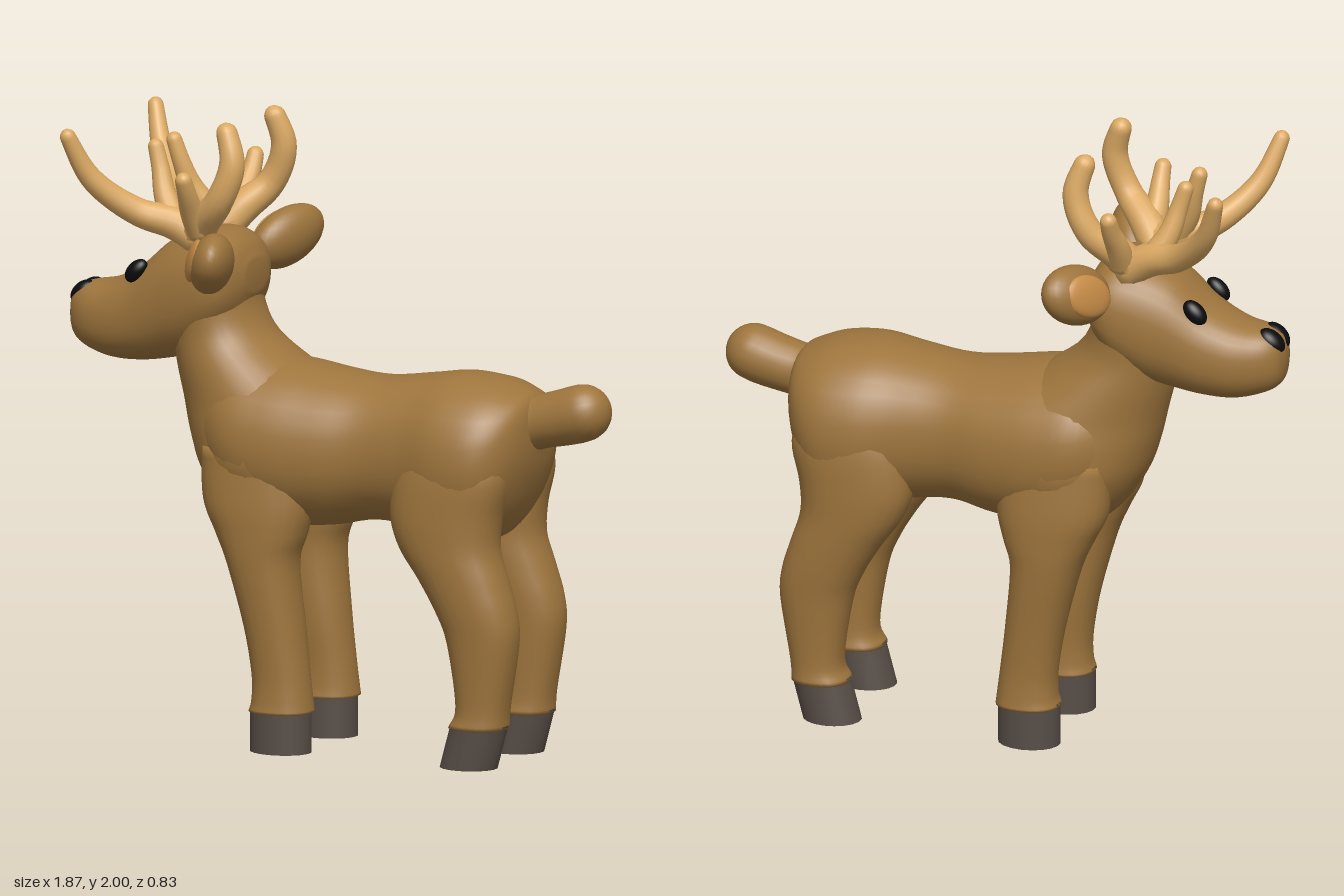
import * as THREE from 'three';

const material = (name, color) => {
  const m = new THREE.MeshStandardMaterial({ color });
  m.name = name;
  return m;
};

// Skin a list of closed rings (arrays of Vector3) and close both ends.
function skin(rings) {
  const n = rings[0].length, pos = [], idx = [];
  rings.forEach(r => r.forEach(p => pos.push(p.x, p.y, p.z)));
  for (let i = 0; i < rings.length - 1; i++) {
    for (let j = 0; j < n; j++) {
      const a = i * n + j, b = i * n + (j + 1) % n;
      idx.push(a, b, a + n, b, b + n, a + n);
    }
  }
  [0, rings.length - 1].forEach((row, end) => {
    const c = rings[row].reduce((s, p) => s.add(p), new THREE.Vector3()).divideScalar(n);
    const k = pos.length / 3;
    pos.push(c.x, c.y, c.z);
    for (let j = 0; j < n; j++) {
      const a = row * n + j, b = row * n + (j + 1) % n;
      if (end) idx.push(a, b, k); else idx.push(b, a, k);
    }
  });
  // Turn the faces outward if the enclosed volume comes out negative.
  const v = i => new THREE.Vector3().fromArray(pos, i * 3);
  let volume = 0;
  for (let i = 0; i < idx.length; i += 3) {
    volume += v(idx[i]).dot(v(idx[i + 1]).cross(v(idx[i + 2])));
  }
  if (volume < 0) idx.reverse();
  const g = new THREE.BufferGeometry();
  g.setAttribute('position', new THREE.Float32BufferAttribute(pos, 3));
  g.setIndex(idx);
  g.computeVertexNormals();
  return g;
}

// Rounded cross-sections along x or y. Row: [position, min, max, zMin, zMax].
function loft(axis, rows, power = 2, sides = 32) {
  const centre = new THREE.CatmullRomCurve3(rows.map(r =>
    new THREE.Vector3(r[0], (r[1] + r[2]) / 2, (r[3] + r[4]) / 2)), false, 'catmullrom', 0.5);
  const half = new THREE.CatmullRomCurve3(rows.map(r =>
    new THREE.Vector3((r[2] - r[1]) / 2, (r[4] - r[3]) / 2, 0)), false, 'catmullrom', 0.5);
  const steps = (rows.length - 1) * 5, rings = [];
  const round = t => Math.sign(t) * Math.abs(t) ** (2 / power);
  for (let i = 0; i <= steps; i++) {
    const c = centre.getPoint(i / steps), h = half.getPoint(i / steps), ring = [];
    for (let j = 0; j < sides; j++) {
      const t = j / sides * Math.PI * 2;
      const a = c.y + Math.max(h.x, 0.002) * round(Math.cos(t));
      const z = c.z + Math.max(h.y, 0.002) * round(Math.sin(t));
      ring.push(axis === 'x' ? new THREE.Vector3(c.x, a, z) : new THREE.Vector3(a, c.x, z));
    }
    rings.push(ring);
  }
  return skin(rings);
}

// Tapered tube with a round tip. Point: [x, y, z, radius].
function branch(points, sides = 14) {
  const curve = new THREE.CatmullRomCurve3(points.map(p => new THREE.Vector3(p[0], p[1], p[2])));
  const steps = 28, { normals, binormals } = curve.computeFrenetFrames(steps);
  const tip = points[points.length - 1][3], length = curve.getLength(), rings = [];
  for (let i = 0; i <= steps; i++) {
    const u = 1 - (1 - i / steps) ** 1.6;
    const f = Math.min(curve.getUtoTmapping(u) * (points.length - 1), points.length - 1.0001);
    const k = Math.floor(f);
    let r = THREE.MathUtils.lerp(points[k][3], points[k + 1][3], f - k);
    const left = Math.min((1 - u) * length / tip, 1);
    r = Math.max(r * Math.sqrt(1 - (1 - left) ** 2), 0.001);
    const c = curve.getPointAt(u), ring = [];
    const near = Math.min(Math.round(u * steps), steps);
    for (let j = 0; j < sides; j++) {
      const t = j / sides * Math.PI * 2;
      ring.push(c.clone().addScaledVector(normals[near], r * Math.cos(t))
        .addScaledVector(binormals[near], r * Math.sin(t)));
    }
    rings.push(ring);
  }
  return skin(rings);
}

// Ellipsoid whose local x, y follow the given directions.
function blob(centre, radii, along, up) {
  const x = new THREE.Vector3(...along).normalize();
  const z = x.clone().cross(new THREE.Vector3(...up)).normalize();
  const y = z.clone().cross(x);
  const g = new THREE.SphereGeometry(1, 28, 18).scale(...radii);
  g.applyMatrix4(new THREE.Matrix4().makeBasis(x, y, z));
  return g.translate(...centre);
}

export function createModel() {
  const fur = material('brown fur', 0x9e753d);
  const horn = material('tan antler', 0xdba963);
  const hoofGrey = material('hoof grey', 0x574d46);
  const black = material('black', 0x0c0c0c);
  const innerEarTan = material('inner ear orange', 0xc68c47);

  const model = new THREE.Group();
  model.name = 'deer';
  const add = (name, geometry, mat) => {
    const mesh = new THREE.Mesh(geometry, mat);
    mesh.name = name;
    model.add(mesh);
  };
  const even = rows => rows.map(([p, a, b, w]) => [p, a, b, -w, w]);

  // Trunk, neck with chest, head and tail
  add('torso', loft('x', even([
    [-0.46, 0.93, 1.13, 0.15], [-0.32, 0.78, 1.23, 0.265], [-0.17, 0.71, 1.235, 0.285],
    [0, 0.715, 1.212, 0.265], [0.15, 0.742, 1.2, 0.235], [0.3, 0.725, 1.218, 0.245],
    [0.43, 0.69, 1.235, 0.28], [0.55, 0.71, 1.225, 0.28], [0.63, 0.8, 1.2, 0.235],
    [0.68, 0.92, 1.17, 0.15], [0.7, 1.02, 1.1, 0.04]]), 2.2), fur);
  add('neck', loft('y', even([
    [0.72, -0.33, -0.12, 0.1], [0.8, -0.41, 0, 0.23], [0.9, -0.47, 0.05, 0.278],
    [1, -0.505, 0.08, 0.275], [1.1, -0.53, 0.06, 0.25], [1.2, -0.555, -0.1, 0.215],
    [1.3, -0.57, -0.24, 0.185], [1.4, -0.56, -0.298, 0.185], [1.5, -0.52, -0.305, 0.19],
    [1.57, -0.5, -0.33, 0.16]])), fur);
  add('head', loft('x', even([
    [-0.935, 1.31, 1.36, 0.02], [-0.92, 1.25, 1.405, 0.065], [-0.87, 1.215, 1.43, 0.105],
    [-0.78, 1.19, 1.448, 0.135], [-0.68, 1.19, 1.5, 0.155], [-0.58, 1.205, 1.585, 0.175],
    [-0.48, 1.23, 1.63, 0.195], [-0.39, 1.29, 1.635, 0.2], [-0.33, 1.36, 1.6, 0.165],
    [-0.295, 1.44, 1.54, 0.08]]), 2.3), fur);
  add('tail', branch([
    [0.58, 1.07, 0, 0.1], [0.7, 1.095, 0, 0.086], [0.82, 1.125, 0, 0.092],
    [0.93, 1.165, 0, 0.088]], 20), fur);

  const frontLeg = [
    [0.97, -0.4, -0.04, 0.09, 0.265], [0.8, -0.395, -0.03, 0.05, 0.285],
    [0.7, -0.35, -0.05, 0.055, 0.287], [0.6, -0.305, -0.078, 0.065, 0.283],
    [0.4, -0.25, -0.06, 0.07, 0.265], [0.25, -0.225, -0.042, 0.08, 0.255],
    [0.17, -0.225, -0.032, 0.08, 0.257], [0.13, -0.235, -0.027, 0.075, 0.262]];
  const backLeg = [
    [1.05, 0.34, 0.62, 0.09, 0.25], [0.93, 0.28, 0.655, 0.06, 0.28],
    [0.8, 0.26, 0.63, 0.045, 0.288], [0.7, 0.29, 0.625, 0.05, 0.287],
    [0.6, 0.36, 0.655, 0.06, 0.283], [0.5, 0.42, 0.685, 0.068, 0.277],
    [0.4, 0.46, 0.692, 0.075, 0.268], [0.2, 0.49, 0.66, 0.083, 0.255],
    [0.13, 0.465, 0.655, 0.075, 0.262]];
  const leg = (rows, s) => loft('y', rows.map(([y, a, b, c, d]) =>
    [y, a, b, Math.min(s * c, s * d), Math.max(s * c, s * d)]), 2.3, 24);
  // Hoof: an oval cylinder, sheared forward by the lean
  const hoof = (x, rx, lean, s) => new THREE.CylinderGeometry(1, 1, 0.14, 18)
    .scale(rx, 1, 0.083)
    .applyMatrix4(new THREE.Matrix4().makeShear(0, 0, lean, 0, 0, 0))
    .translate(x, 0.07, s * 0.17);

  for (const s of [1, -1]) {
    const side = s > 0 ? 'left' : 'right';
    add(side + 'FrontLeg', leg(frontLeg, s), fur);
    add(side + 'BackLeg', leg(backLeg, s), fur);
    add(side + 'FrontHoof', hoof(-0.133, 0.101, 0, s), hoofGrey);
    const back = hoof(0, 0.095, 0, s);
    const p = back.attributes.position;
    for (let i = 0; i < p.count; i++) p.setX(i, p.getX(i) + 0.525 + p.getY(i) * 0.27);
    back.computeVertexNormals();
    add(side + 'BackHoof', back, hoofGrey);

    // Ear with its lining, eye and nose half
    add(side + 'Ear', blob([-0.325, 1.565, s * 0.275], [0.15, 0.097, 0.07],
      [0.1, 0.08, s * 0.24], [0.25, 1, 0]), fur);
    add(side + 'InnerEar', blob([-0.375, 1.575, s * 0.3], [0.095, 0.067, 0.025],
      [0.1, 0.08, s * 0.16], [0.25, 1, 0]), innerEarTan);
    add(side + 'Eye', blob([-0.667, 1.49, s * 0.112], [0.046, 0.028, 0.03],
      [0.75, 0.75, 0], [-0.5, 0.5, s * 0.7]), black);
    add(side + 'Nose', blob([-0.893, 1.392, s * 0.027], [0.05, 0.032, 0.037],
      [0.75, 0.65, s * 0.15], [-0.6, 0.7, 0]), black);

    // Antler: front beam, rear beam and a tine on each
    const tines = {
      FrontBeam: [[-0.43, 1.6, 0.11, 0.055], [-0.52, 1.655, 0.125, 0.055],
        [-0.63, 1.69, 0.17, 0.045], [-0.75, 1.8, 0.26, 0.036], [-0.815, 1.965, 0.33, 0.024]],
      RearBeam: [[-0.47, 1.6, 0.1, 0.055], [-0.42, 1.67, 0.14, 0.055],
        [-0.34, 1.75, 0.19, 0.045], [-0.295, 1.87, 0.19, 0.042], [-0.33, 2, 0.17, 0.032]],
      FrontTine: [[-0.53, 1.66, 0.12, 0.045], [-0.575, 1.74, 0.095, 0.036],
        [-0.6, 1.82, 0.075, 0.029], [-0.627, 1.91, 0.065, 0.024]],
      RearTine: [[-0.43, 1.64, 0.14, 0.045], [-0.435, 1.71, 0.19, 0.038],
        [-0.43, 1.78, 0.24, 0.03], [-0.43, 1.845, 0.275, 0.025]],
    };
    for (const [name, pts] of Object.entries(tines)) {
      add(side + 'Antler' + name, branch(pts.map(([x, y, z, r]) => [x, y, s * z, r])), horn);
    }
  }
  return model;
}
